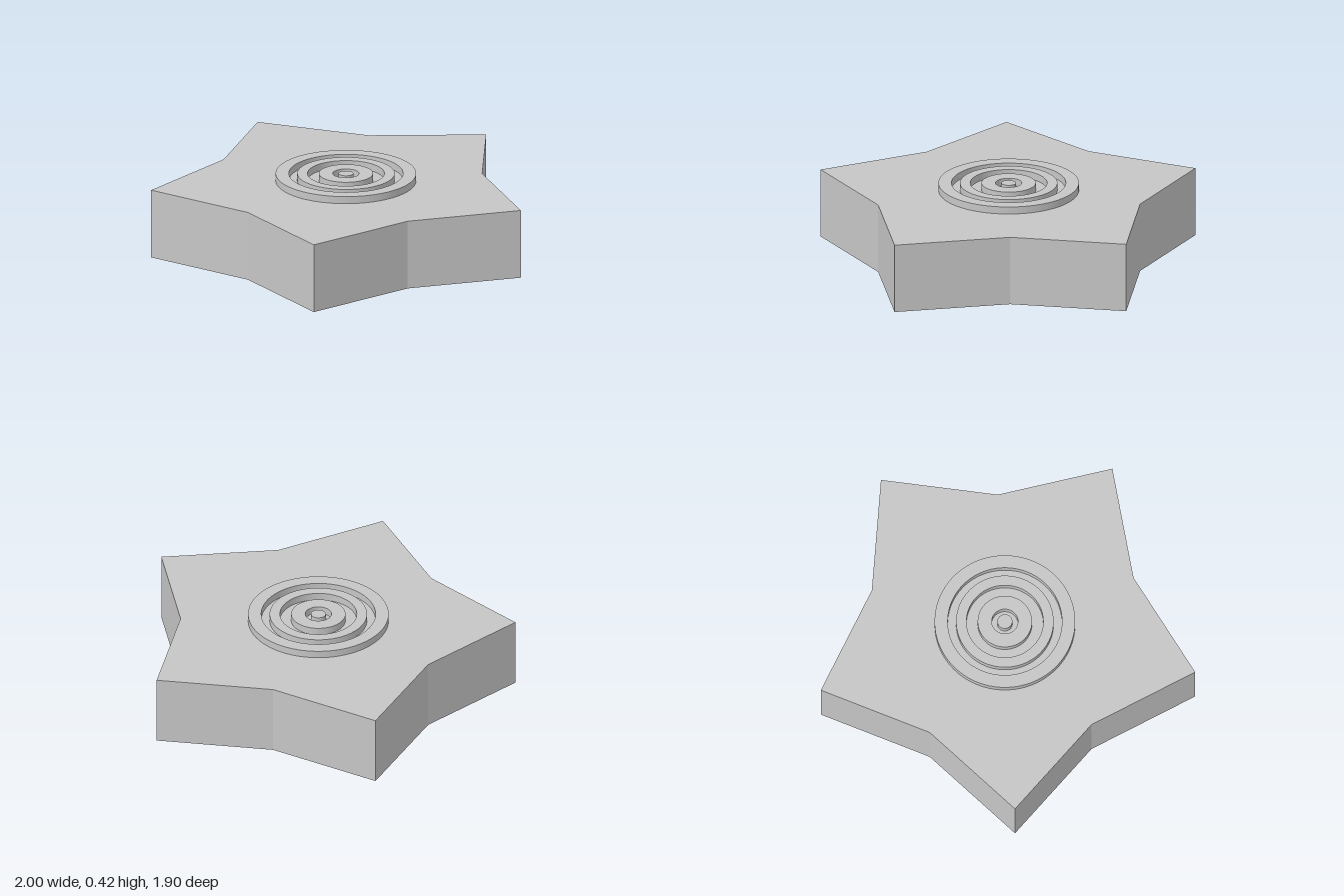
import * as THREE from 'three';

const CENTER_Z = 0.1;     // star centre, offset so the bounds are centred
const BODY_H = 0.38;
const RING_H = 0.04;

export function createModel() {
  const group = new THREE.Group();
  group.name = 'starBlock';
  const grey = new THREE.MeshStandardMaterial({ color: 0xc6c6c6 });
  grey.name = 'light grey';

  // Extrudes a flat shape upward from height y
  function addSlab(name, shape, y, height) {
    const geo = new THREE.ExtrudeGeometry(shape, {
      depth: height, bevelEnabled: false, curveSegments: 48,
    });
    geo.rotateX(-Math.PI / 2);
    const mesh = new THREE.Mesh(geo, grey);
    mesh.name = name;
    mesh.position.set(0, y, CENTER_Z);
    group.add(mesh);
  }

  // Five-pointed star body, one tip toward the back
  const points = [];
  for (let i = 0; i < 10; i++) {
    const r = i % 2 ? 0.735 : 1.0515;
    const a = Math.PI / 2 + (i * Math.PI) / 5;
    points.push(new THREE.Vector2(r * Math.cos(a), r * Math.sin(a)));
  }
  addSlab('starBody', new THREE.Shape(points), 0, BODY_H);

  // Raised concentric rings and the centre button: [outer, inner] radii
  const rings = [
    ['outerRing', 0.375, 0.305],
    ['middleRing', 0.26, 0.205],
    ['innerRing', 0.145, 0.07],
    ['centreButton', 0.04, 0],
  ];
  for (const [name, outer, inner] of rings) {
    const shape = new THREE.Shape().absarc(0, 0, outer, 0, Math.PI * 2, false);
    if (inner > 0) {
      shape.holes.push(new THREE.Path().absarc(0, 0, inner, 0, Math.PI * 2, true));
    }
    addSlab(name, shape, BODY_H, RING_H);
  }
  return group;
}
